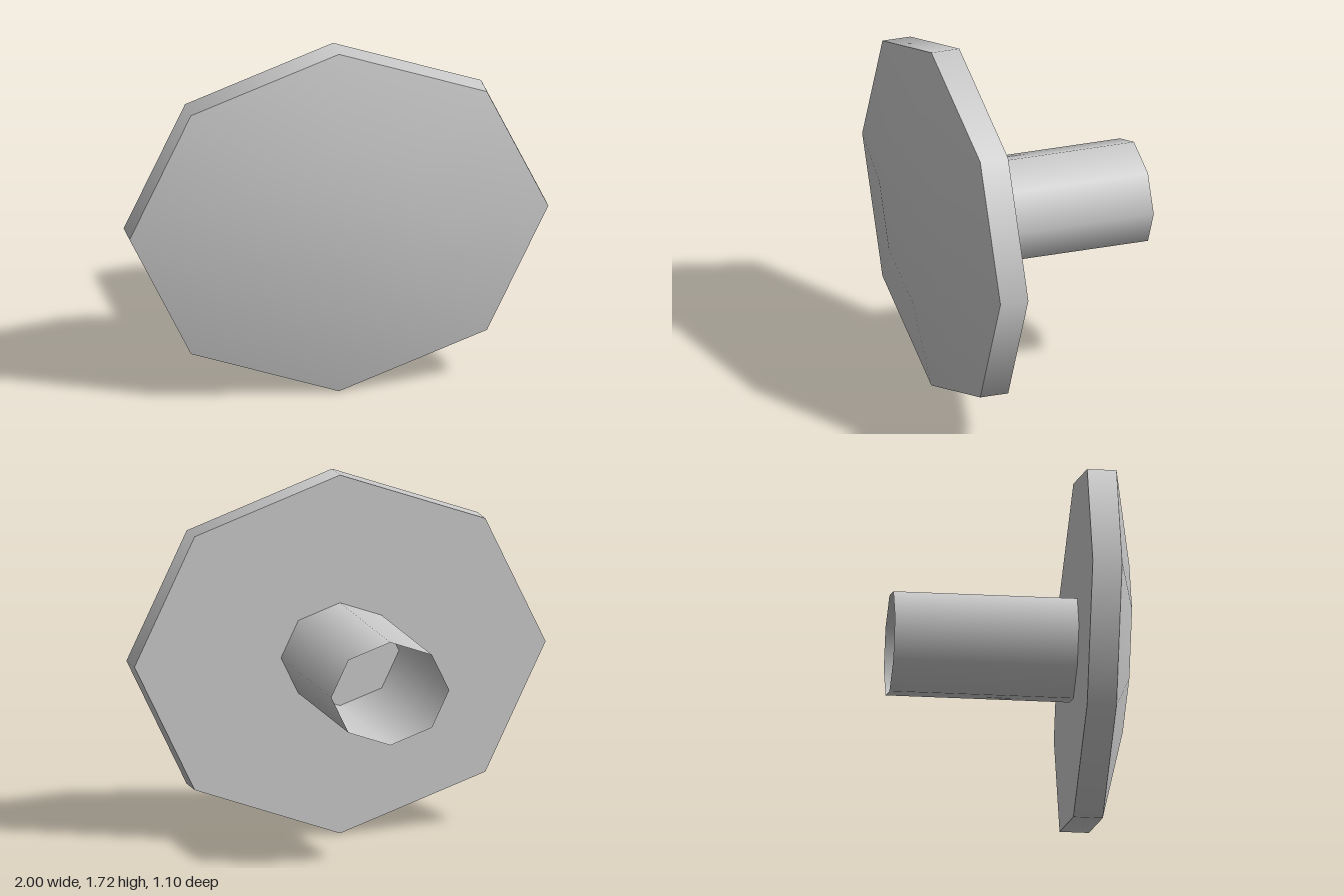
import * as THREE from 'three';

const SIDES = 8;
const SQUASH = 0.86; // height / width of every octagonal section
const CENTRE_Y = 0.86;

export function createModel() {
  const group = new THREE.Group();
  const grey = new THREE.MeshStandardMaterial({ color: 0xcccccc });
  grey.name = 'light grey';
  const greyOpen = grey;
  greyOpen.side = THREE.DoubleSide;

  const add = (name, geometry, z) => {
    geometry.scale(1, SQUASH, 1);
    const mesh = new THREE.Mesh(geometry, grey);
    mesh.name = name;
    mesh.position.set(0, CENTRE_Y, z);
    group.add(mesh);
  };

  // Open octagonal tube running along z
  const tube = (radius, z0, z1) =>
    new THREE.CylinderGeometry(radius, radius, z1 - z0, SIDES, 1, true).rotateX(Math.PI / 2);

  // Shallow domed front of the head
  const profile = [[1, 0], [0.48, 0.094], [0, 0.096]].map(([r, h]) => new THREE.Vector2(r, h));
  add('headFront', new THREE.LatheGeometry(profile, SIDES).rotateX(Math.PI / 2), 0.453);

  // Rim and flat back of the head
  add('headRim', tube(1, 0.315, 0.453), (0.315 + 0.453) / 2);
  add('headBack', new THREE.CircleGeometry(1, SIDES).rotateY(Math.PI), 0.315);

  // Hollow stem, open at the rear
  add('stem', tube(0.287, -0.549, 0.315), (-0.549 + 0.315) / 2);

  return group;
}
